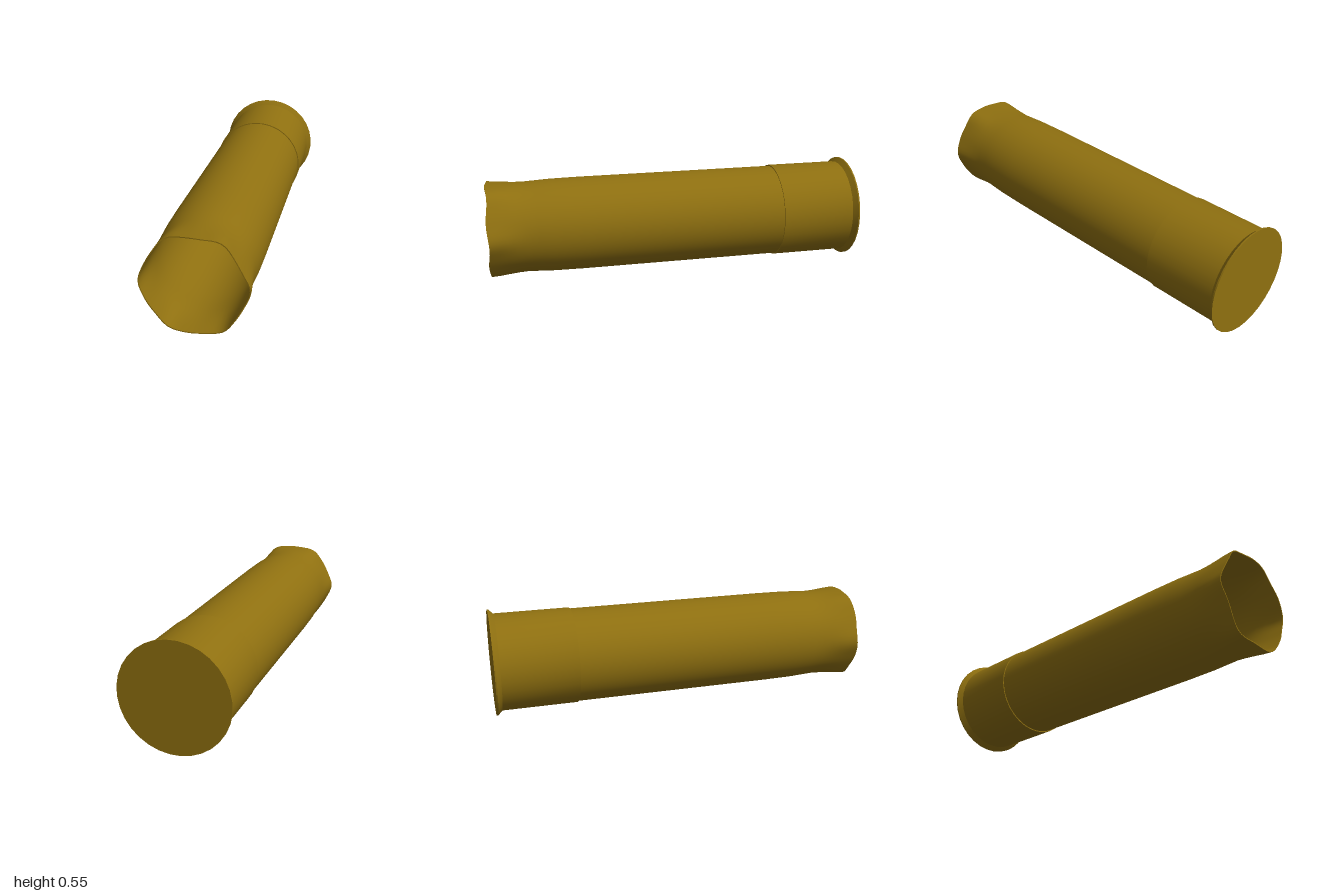
import * as THREE from 'three';
import { toCreasedNormals } from 'three/addons/utils/BufferGeometryUtils.js';

const AXIS_Y = 0.278;

// Turn a profile of [radius, z] points around the z axis
function turned(profile, sides, phase = 0) {
  const points = profile.map(([r, z]) => new THREE.Vector2(r, z));
  return new THREE.LatheGeometry(points, sides, phase).rotateX(Math.PI / 2);
}

export function createModel() {
  const group = new THREE.Group();
  group.name = 'spentCartridgeCase';
  const brass = new THREE.MeshStandardMaterial({ color: 0x8f7010, side: THREE.DoubleSide });

  function add(name, geometry) {
    const mesh = new THREE.Mesh(toCreasedNormals(geometry, 0.6), brass);
    mesh.name = name;
    mesh.position.y = AXIS_Y;
    group.add(mesh);
  }

  // Base cap with its flared rim
  add('baseCap', turned([
    [0, -1], [0.278, -1], [0.278, -0.993], [0.255, -0.97],
    [0.255, -0.575], [0.244, -0.575],
  ], 32, Math.PI / 32));

  // Thin hull: outer wall to the mouth, then back along the inner wall to the floor
  const outer = [
    [0.249, -0.9], [0.249, 0.5], [0.247, 0.66], [0.243, 0.74], [0.24, 0.8],
    [0.241, 0.85], [0.243, 0.9], [0.246, 0.95], [0.248, 1],
  ];
  const inner = outer.map(([r, z]) => [r - 0.005, z]).reverse();
  const hull = turned([...outer, ...inner, [0, -0.9]], 72);

  // Crimp the mouth into six lobes, growing from the neck to the lip
  const pos = hull.attributes.position;
  for (let i = 0; i < pos.count; i++) {
    const x = pos.getX(i), y = pos.getY(i), z = pos.getZ(i);
    const t = THREE.MathUtils.smoothstep(z, 0.78, 1);
    if (t === 0) continue;
    const angle = Math.atan2(y, x);
    const scale = 1 + t * (0.034 * Math.cos(6 * angle) + 0.006 * Math.cos(12 * angle));
    const dip = 0.005 * t * (1 + Math.cos(6 * angle + 0.8));
    pos.setXYZ(i, x * scale, y * scale, z - dip);
  }
  add('crimpedHull', hull);

  return group;
}
